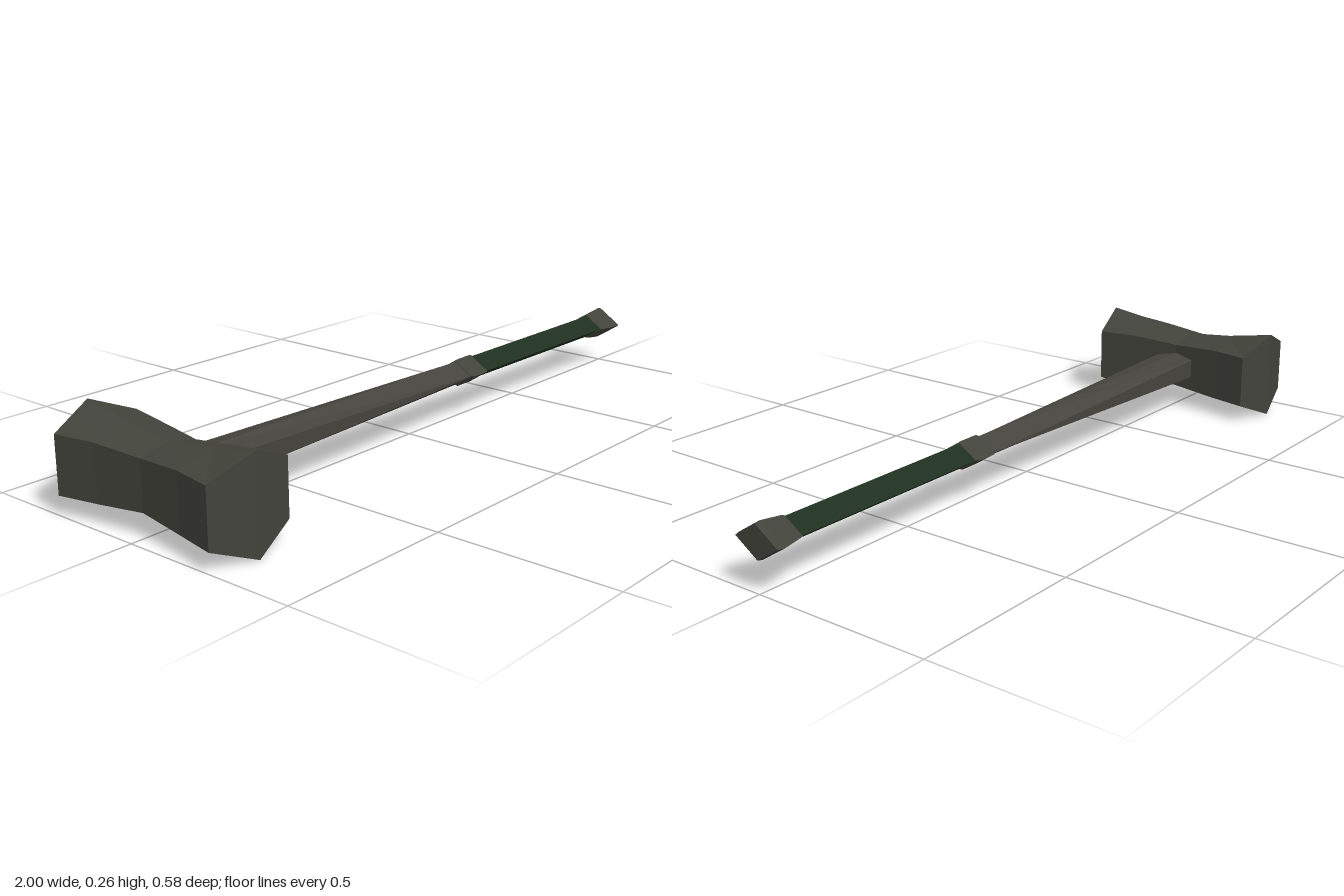
import * as THREE from 'three';

const CENTRE_Y = 0.131;

// Six-sided ring: half width, half height, half height of the side edge
// (0 makes a diamond), position of the top/bottom and of the side corners along the axis
function ring([hw, hh, side, at, sideAt = at]) {
  return [
    [0, hh, at], [-hw, side, sideAt], [-hw, -side, sideAt],
    [0, -hh, at], [hw, -side, sideAt], [hw, side, sideAt],
  ].map((p) => new THREE.Vector3(...p));
}

// Flat-shaded, capped loft through the rings, running along +z
function loft(sections) {
  const rings = sections.map(ring);
  const pos = [];
  const tri = (a, b, c) => {
    if (new THREE.Triangle(a, b, c).getArea() < 1e-8) return;
    for (const p of [a, b, c]) pos.push(p.x, p.y, p.z);
  };
  for (let k = 0; k < rings.length - 1; k++) {
    const r0 = rings[k], r1 = rings[k + 1];
    for (let i = 0; i < 6; i++) {
      const j = (i + 1) % 6;
      tri(r0[i], r0[j], r1[j]);
      tri(r0[i], r1[j], r1[i]);
    }
  }
  const first = rings[0], last = rings[rings.length - 1];
  for (let i = 1; i < 5; i++) {
    tri(first[0], first[i + 1], first[i]);
    tri(last[0], last[i], last[i + 1]);
  }
  const geo = new THREE.BufferGeometry();
  geo.setAttribute('position', new THREE.Float32BufferAttribute(pos, 3));
  geo.computeVertexNormals();
  return geo;
}

export function createModel() {
  const stone = new THREE.MeshStandardMaterial({ color: 0x42433b, flatShading: true });
  stone.name = 'dark stone';
  const wood = new THREE.MeshStandardMaterial({ color: 0x45433d, flatShading: true });
  wood.name = 'grey wood';
  const leather = new THREE.MeshStandardMaterial({ color: 0x203020, flatShading: true });
  leather.name = 'green leather';

  const group = new THREE.Group();
  group.name = 'warHammer';
  const add = (name, sections, material, alongX = true) => {
    const geo = loft(sections);
    if (alongX) geo.rotateY(Math.PI / 2);
    const mesh = new THREE.Mesh(geo, material);
    mesh.name = name;
    mesh.position.y = CENTRE_Y;
    group.add(mesh);
    return mesh;
  };

  // Waisted hexagonal head with slightly wedge-shaped striking faces
  const head = add('head', [
    [0.125, 0.13, 0.078, -0.292, -0.263],
    [0.102, 0.103, 0.077, -0.145],
    [0.085, 0.086, 0.067, 0],
    [0.102, 0.103, 0.077, 0.145],
    [0.125, 0.13, 0.078, 0.292, 0.263],
  ], stone, false);
  head.position.x = -0.875;

  // Shaft, hexagonal at the head and fading to a diamond at the collar
  add('shaft', [
    [0.063, 0.041, 0.029, -0.83],
    [0.055, 0.034, 0, 0.23],
  ], wood);

  // Collar between shaft and grip
  add('collar', [
    [0.056, 0.036, 0, 0.212],
    [0.063, 0.041, 0, 0.222],
    [0.063, 0.041, 0, 0.28],
    [0.056, 0.036, 0, 0.29],
  ], stone);

  add('grip', [
    [0.055, 0.035, 0, 0.28],
    [0.055, 0.035, 0, 0.925],
  ], leather);

  // Flared pommel with a bevelled end
  add('pommel', [
    [0.06, 0.038, 0, 0.912],
    [0.063, 0.041, 0, 0.925],
    [0.077, 0.049, 0, 0.985],
    [0.07, 0.045, 0, 1.0],
  ], stone);

  return group;
}
